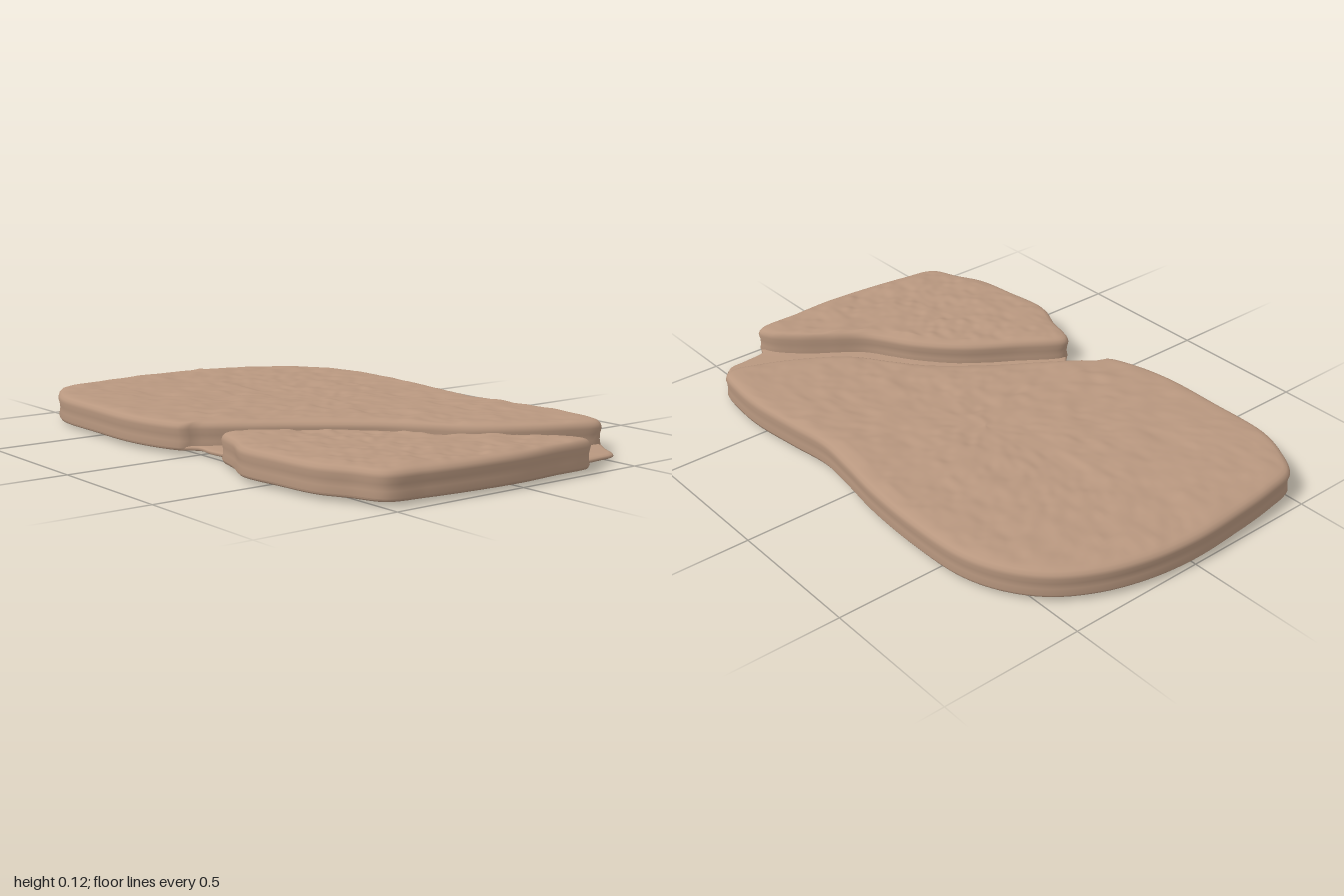
import * as THREE from 'three';

const N = 260;
const material = new THREE.MeshStandardMaterial({ color: 0xb8977f, roughness: 0.9 });

// Smooth value noise on a hashed grid, range -1..1
function hash(i, j) {
  const s = Math.sin(i * 127.1 + j * 311.7) * 43758.5453;
  return (s - Math.floor(s)) * 2 - 1;
}
function noise(x, z) {
  const i = Math.floor(x), j = Math.floor(z);
  const u = THREE.MathUtils.smoothstep(x - i, 0, 1), v = THREE.MathUtils.smoothstep(z - j, 0, 1);
  const { lerp } = THREE.MathUtils;
  return lerp(lerp(hash(i, j), hash(i + 1, j), u), lerp(hash(i, j + 1), hash(i + 1, j + 1), u), v);
}
const bumps = (x, z) => 0.004 * noise(x * 16, z * 16) + 0.003 * noise(x * 33 + 7, z * 33);

// Closed outline through [x, z] points, evenly resampled
function outline(points) {
  const curve = new THREE.CatmullRomCurve3(points.map(([x, z]) => new THREE.Vector3(x, 0, z)), true, 'centripetal');
  curve.arcLengthDivisions = 1200;
  return curve.getSpacedPoints(N).slice(0, N);
}

// Skin between rings; each ring is { inset, scale, y, rough } drawn in toward the centre
function loft(name, points, [cx, cz], rings) {
  const positions = [], index = [];
  const edge = outline(points);
  for (const { inset = 0, scale = 1, y, rough = 0 } of rings) {
    for (const p of edge) {
      const dx = p.x - cx, dz = p.z - cz, r = Math.hypot(dx, dz);
      const k = scale * (r - inset) / r;
      const x = cx + dx * k, z = cz + dz * k;
      positions.push(x, y + rough * bumps(x, z), z);
    }
  }
  for (let j = 0; j < rings.length - 1; j++) {
    for (let i = 0; i < N; i++) {
      const a = j * N + i, b = j * N + (i + 1) % N;
      index.push(a, a + N, b, b, a + N, b + N);
    }
  }
  const geometry = new THREE.BufferGeometry();
  geometry.setAttribute('position', new THREE.Float32BufferAttribute(positions, 3));
  geometry.setIndex(index);
  geometry.computeVertexNormals();
  const mesh = new THREE.Mesh(geometry, material);
  mesh.name = name;
  return mesh;
}

// Rounded rim followed by a rough, nearly flat top
function stoneRings() {
  const rings = [
    { inset: 0.03, y: 0.012 }, { inset: 0.008, y: 0.014 }, { inset: 0.002, y: 0.024 },
    { inset: 0.006, y: 0.045 }, { inset: 0.005, y: 0.065 }, { inset: 0, y: 0.085 },
    { inset: 0.004, y: 0.097 }, { inset: 0.013, y: 0.106 }, { inset: 0.026, y: 0.11, rough: 0.3 },
    { inset: 0.042, y: 0.112, rough: 0.7 },
  ];
  const steps = 44;
  for (let i = 1; i <= steps; i++) {
    rings.push({ inset: 0.042, scale: Math.max(1 - i / steps, 0.001), y: 0.113, rough: 1 });
  }
  return rings;
}

export function createModel() {
  const group = new THREE.Group();
  group.name = 'splitStoneSlab';

  // Outer borders, clockwise seen from above
  const largeBorder = [
    [-0.03, 0.55], [-0.12, 0.59], [-0.28, 0.62], [-0.5, 0.62], [-0.74, 0.61], [-0.85, 0.565],
    [-0.94, 0.5], [-0.97, 0.38], [-0.99, 0.2], [-1, 0], [-0.98, -0.18], [-0.93, -0.34],
    [-0.85, -0.47], [-0.74, -0.56], [-0.6, -0.615], [-0.37, -0.63], [-0.15, -0.62],
    [0.03, -0.595], [0.18, -0.58], [0.34, -0.6], [0.53, -0.62], [0.65, -0.615], [0.775, -0.59],
  ];
  const smallBorder = [
    [0.975, -0.32], [0.99, -0.15], [1, 0], [0.99, 0.2], [0.97, 0.36], [0.94, 0.49], [0.84, 0.54],
    [0.74, 0.59], [0.58, 0.613], [0.41, 0.625], [0.3, 0.58], [0.18, 0.54],
  ];
  // Edges along the curved channel
  const largeChannel = [
    [0.79, -0.56], [0.76, -0.46], [0.7, -0.33], [0.6, -0.18], [0.47, -0.08], [0.36, 0.01],
    [0.2, 0.21], [0.1, 0.36], [0.03, 0.46], [-0.02, 0.52],
  ];
  const smallChannel = [
    [0.17, 0.51], [0.27, 0.35], [0.38, 0.19], [0.51, 0.07], [0.68, -0.04], [0.76, -0.14],
    [0.84, -0.24], [0.92, -0.31],
  ];

  group.add(loft('largeStone', [...largeBorder, ...largeChannel], [-0.1, -0.1], stoneRings()));
  group.add(loft('smallStone', [...smallBorder, ...smallChannel], [0.66, 0.27], stoneRings()));

  // Base: shallow convex underside and the floor of the channel
  const baseRings = [];
  for (let i = 0; i <= 10; i++) {
    const s = Math.max(i / 10, 0.001);
    baseRings.push({ inset: 0.012, scale: s, y: 0.014 * s * s });
  }
  baseRings.push({ inset: 0.004, y: 0.019 }, { inset: 0.008, y: 0.026 });
  for (let i = 0; i <= 12; i++) {
    baseRings.push({ inset: 0.02, scale: Math.max(1 - i / 12, 0.001), y: 0.03, rough: 0.3 });
  }
  const baseBorder = [
    ...largeBorder, [0.85, -0.54], [0.92, -0.495], [0.93, -0.42], [0.945, -0.33],
    ...smallBorder, [0.16, 0.515], [0.07, 0.52], [0, 0.515],
  ];
  group.add(loft('channelBase', baseBorder, [0.05, 0], baseRings));

  return group;
}
